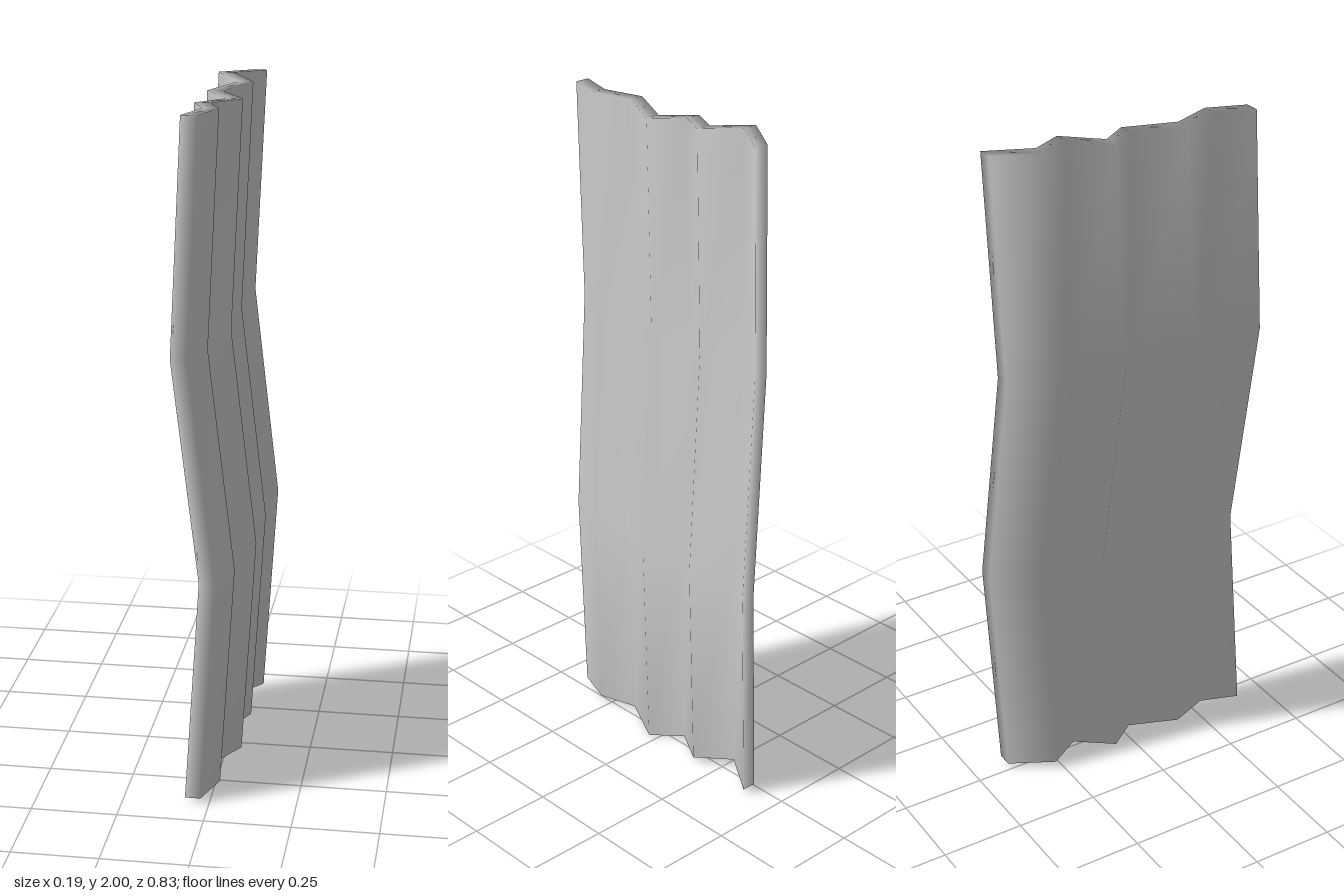
import * as THREE from 'three';

// Fold line seen from above: x, z and a small lift for each pleat edge
const pleats = [
  [-0.07, 0.398, 0.015], [-0.03, 0.283, 0.015], [-0.07, 0.17, 0.01], [-0.002, 0.03, 0],
  [-0.07, -0.058, 0.006], [0, -0.17, 0.015], [-0.07, -0.274, 0.025], [0.01, -0.396, 0.015],
];
// Sideways sway of each level, bottom to top: x, z
const sway = [[0, 0], [0.04, -0.02], [-0.03, 0.015], [0, 0]];
const thickness = 0.045;
const height = 1.975;

export function createModel() {
  const n = pleats.length, ring = 2 * n, levels = sway.length;
  const positions = [], index = [];

  // One closed ring per level: along one side and back along the other
  sway.forEach(([sx, sz], level) => {
    for (let i = 0; i < ring; i++) {
      const back = i >= n;
      const [x, z, lift] = pleats[back ? ring - 1 - i : i];
      positions.push(x + sx + (back ? thickness : 0), lift + height * level / (levels - 1), z + sz);
    }
  });

  // Walls
  for (let level = 0; level < levels - 1; level++) {
    for (let i = 0; i < ring; i++) {
      const a = level * ring + i, b = level * ring + (i + 1) % ring;
      const c = a + ring, d = b + ring;
      index.push(a, c, b, b, c, d);
    }
  }

  // Top and bottom hems
  const top = (levels - 1) * ring;
  for (let i = 0; i < n - 1; i++) {
    const f0 = i, f1 = i + 1, b0 = ring - 1 - i, b1 = ring - 2 - i;
    index.push(top + f0, top + b0, top + b1, top + f0, top + b1, top + f1);
    index.push(f0, b1, b0, f0, f1, b1);
  }

  // Shared corners give soft shading over the whole cloth
  const geometry = new THREE.BufferGeometry();
  geometry.setAttribute('position', new THREE.Float32BufferAttribute(positions, 3));
  geometry.setIndex(index);
  geometry.computeVertexNormals();

  const curtain = new THREE.Mesh(geometry, new THREE.MeshStandardMaterial({ color: 0xcccccc }));
  curtain.name = 'pleatedCurtain';
  const group = new THREE.Group();
  group.name = 'curtain';
  group.add(curtain);
  return group;
}
